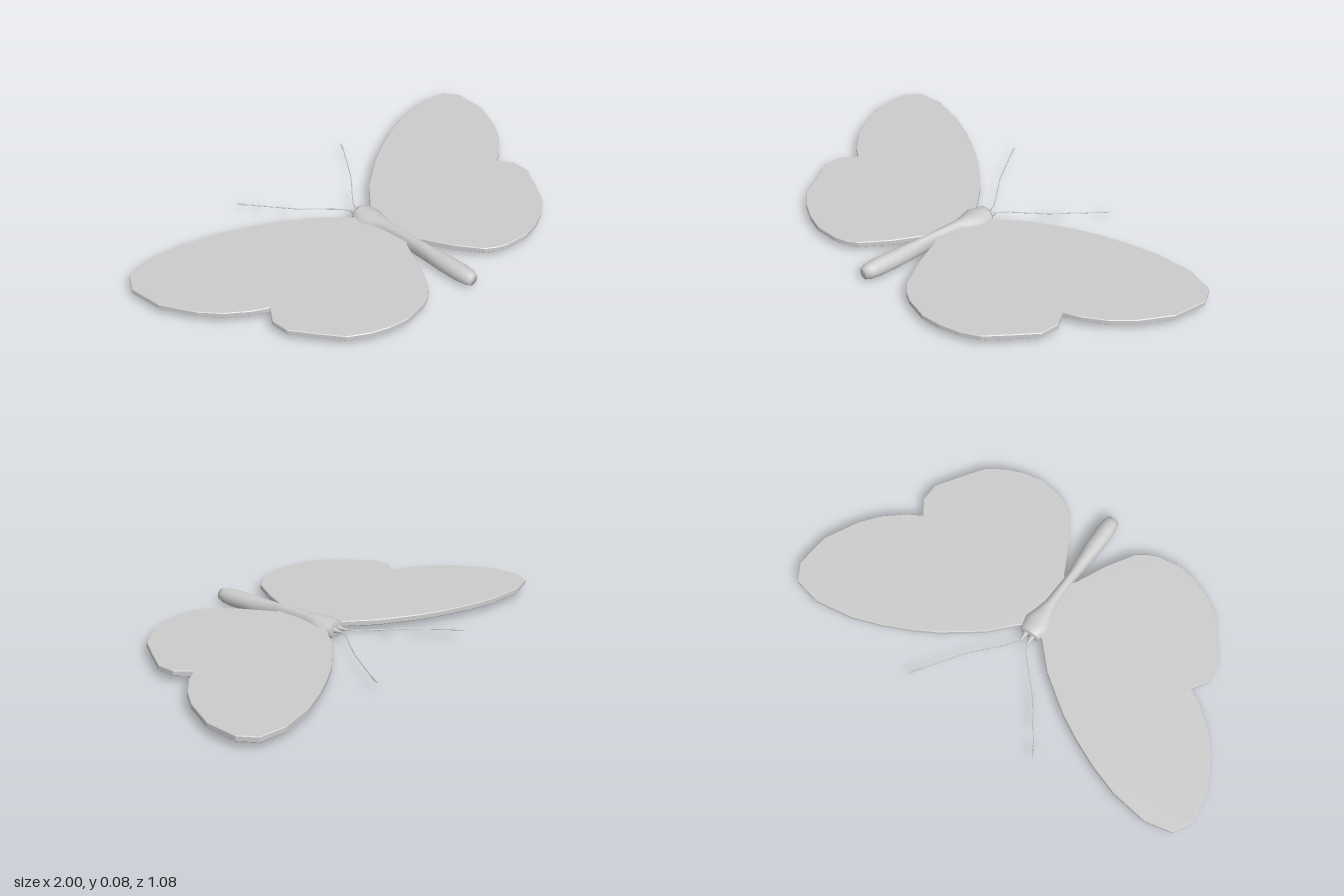
import * as THREE from 'three';
import { mergeVertices } from 'three/addons/utils/BufferGeometryUtils.js';

const MID = 0.039; // height of the body axis

// Outline of one wing pair (x, z), from shoulder round the tip to the waist
const WING = [
  [0, -0.06], [0.06, -0.1], [0.16, -0.205], [0.32, -0.32], [0.42, -0.375], [0.54, -0.43],
  [0.67, -0.475], [0.835, -0.5], [0.955, -0.475], [1, -0.4], [0.985, -0.25], [0.91, -0.107],
  [0.845, -0.027], [0.76, 0.043], [0.695, 0.08], [0.74, 0.144], [0.737, 0.225],
  [0.67, 0.325], [0.605, 0.417], [0.53, 0.467], [0.45, 0.5], [0.365, 0.517], [0.26, 0.502],
  [0.215, 0.482], [0.17, 0.45], [0.097, 0.337], [0.03, 0.2], [0, 0.17],
];

// Body stations: z, half width, half height
const BODY = [
  [-0.107, 0.046, 0.036], [-0.1, 0.05, 0.039], [-0.045, 0.064, 0.039], [0.0, 0.047, 0.039],
  [0.055, 0.03, 0.039], [0.2, 0.021, 0.039], [0.28, 0.029, 0.039], [0.37, 0.038, 0.039],
  [0.47, 0.04, 0.039], [0.515, 0.035, 0.033], [0.538, 0.025, 0.026],
];

export function createModel() {
  const group = new THREE.Group();
  const material = new THREE.MeshStandardMaterial({ color: 0xcccccc });
  const add = (name, geometry) => {
    const mesh = new THREE.Mesh(geometry, material);
    mesh.name = name;
    group.add(mesh);
    return mesh;
  };

  // Thorax and abdomen: a cylinder whose rings follow the stations
  const rows = BODY.length - 1;
  let body = new THREE.CylinderGeometry(1, 1, 1, 12, rows).rotateX(Math.PI / 2);
  const pos = body.attributes.position;
  for (let i = 0; i < pos.count; i++) {
    const [z, w, h] = BODY[Math.round((pos.getZ(i) + 0.5) * rows)];
    pos.setXYZ(i, pos.getX(i) * w, MID + pos.getY(i) * h, z);
  }
  body.deleteAttribute('uv');
  body.deleteAttribute('normal');
  body = mergeVertices(body);
  body.computeVertexNormals();
  add('body', body);

  for (const side of [1, -1]) {
    const label = side > 0 ? 'left' : 'right';

    // Wing: thin slab with a slightly softened rim
    const shape = new THREE.Shape(WING.map(([x, z]) => new THREE.Vector2(side * x, -z)));
    const wing = new THREE.ExtrudeGeometry(shape, {
      depth: 0.019, bevelEnabled: true, bevelSize: 0.003, bevelThickness: 0.003,
      bevelOffset: -0.003, bevelSegments: 1,
    });
    wing.rotateX(-Math.PI / 2).translate(0, 0.031, 0);
    add(label + 'Wing', wing);

    // Small horn on the head that carries the antenna
    const horn = new THREE.CylinderGeometry(0.004, 0.014, 0.05, 8);
    horn.rotateX(-Math.PI / 2).translate(side * 0.016, MID, -0.122);
    add(label + 'Horn', horn);

    // Antenna: bent thin stem
    const points = [[0.014, -0.14], [0.03, -0.175], [0.165, -0.32], [0.285, -0.485], [0.318, -0.538]]
      .map(([x, z]) => new THREE.Vector3(side * x, MID, z));
    const path = new THREE.CurvePath();
    for (let i = 1; i < points.length; i++) path.add(new THREE.LineCurve3(points[i - 1], points[i]));
    add(label + 'Antenna', new THREE.TubeGeometry(path, 24, 0.0025, 6));

    // Club at the antenna tip
    const club = add(label + 'AntennaClub', new THREE.SphereGeometry(1, 8, 6));
    club.scale.set(0.005, 0.034, 0.004);
    club.position.copy(points[3]).lerp(points[4], 0.5);
    club.quaternion.setFromUnitVectors(
      new THREE.Vector3(0, 1, 0), points[4].clone().sub(points[3]).normalize());
  }
  return group;
}
